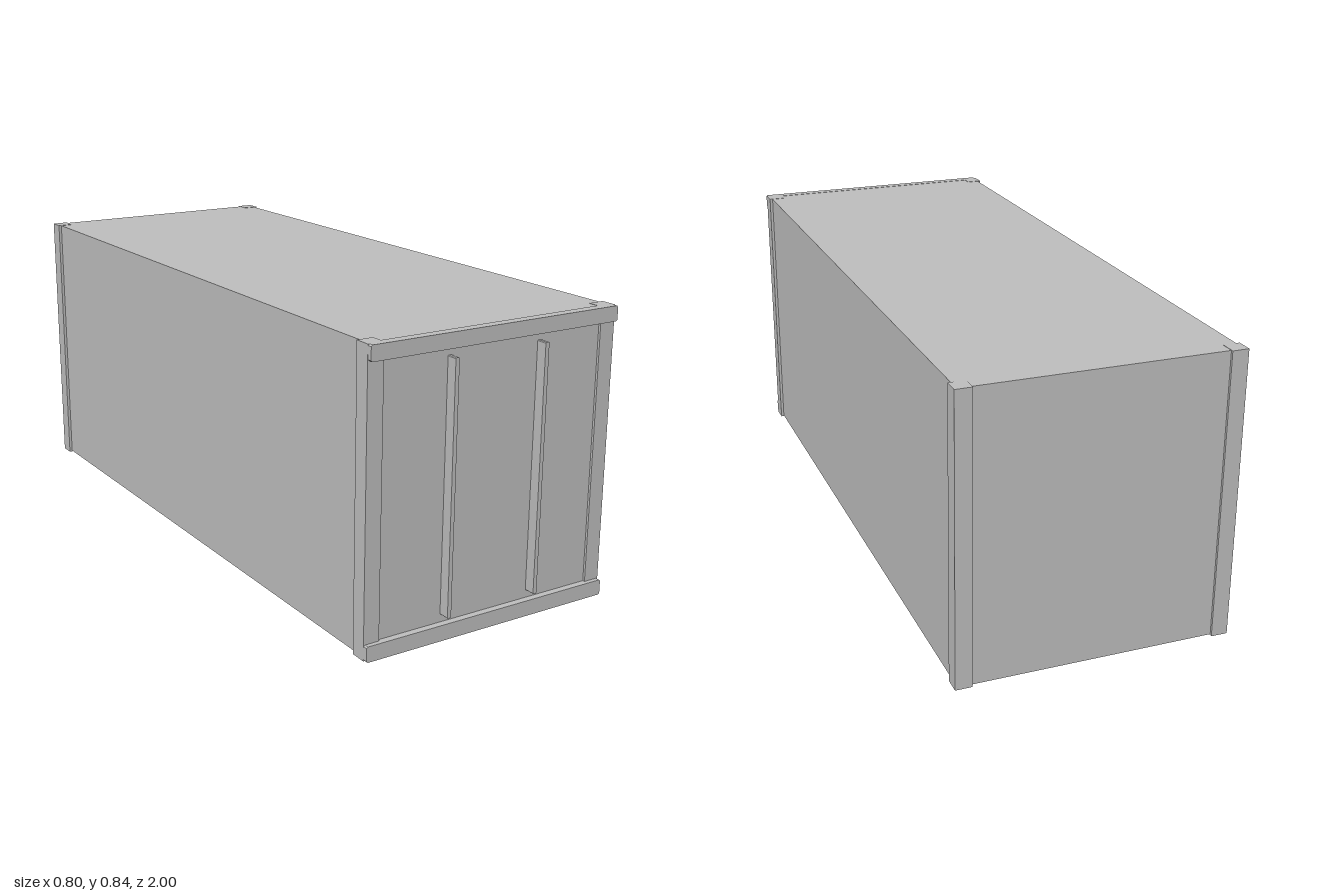
import * as THREE from 'three';

const HEIGHT = 0.84;

export function createModel() {
  const model = new THREE.Group();
  model.name = 'shippingContainer';
  const steel = new THREE.MeshStandardMaterial({ color: 0xc0c0c0 });
  steel.name = 'grey steel';

  function add(name, geometry) {
    const mesh = new THREE.Mesh(geometry, steel);
    mesh.name = name;
    model.add(mesh);
  }

  // Box given by its lower and upper limits
  function box(name, x0, x1, y0, y1, z0, z1) {
    const g = new THREE.BoxGeometry(x1 - x0, y1 - y0, z1 - z0);
    g.translate((x0 + x1) / 2, (y0 + y1) / 2, (z0 + z1) / 2);
    add(name, g);
  }

  // Front plate with cut corners
  function plate(name, x0, x1, y0, y1, z0, z1, cut) {
    const shape = new THREE.Shape([
      [x0 + cut, y0], [x1 - cut, y0], [x1, y0 + cut], [x1, y1 - cut],
      [x1 - cut, y1], [x0 + cut, y1], [x0, y1 - cut], [x0, y0 + cut],
    ].map(([x, y]) => new THREE.Vector2(x, y)));
    const g = new THREE.ExtrudeGeometry(shape, { depth: z1 - z0, bevelEnabled: false });
    g.translate(0, 0, z0);
    add(name, g);
  }

  // Main shell with slightly recessed walls
  box('body', -0.391, 0.391, 0.003, HEIGHT - 0.001, -0.993, 0.968);

  // Corner posts
  for (const side of [-1, 1]) {
    const inner = side * 0.352, outer = side * 0.4;
    const x0 = Math.min(inner, outer), x1 = Math.max(inner, outer);
    const label = side > 0 ? 'left' : 'right';
    box(label + 'FrontPost', x0, x1, 0, HEIGHT, 0.927, 0.975);
    box(label + 'BackPost', x0, x1, 0, HEIGHT, -1, -0.952);
  }

  // Door header and sill
  plate('doorHeader', -0.399, 0.399, 0.797, HEIGHT, 0.96, 0.988, 0.004);
  plate('doorSill', -0.399, 0.399, 0, 0.045, 0.96, 0.988, 0.004);

  // Vertical locking bars
  for (const x of [-0.146, 0.146]) {
    plate(x > 0 ? 'leftLockingBar' : 'rightLockingBar',
      x - 0.006, x + 0.006, 0.067, 0.776, 0.96, 1, 0.002);
  }

  return model;
}
